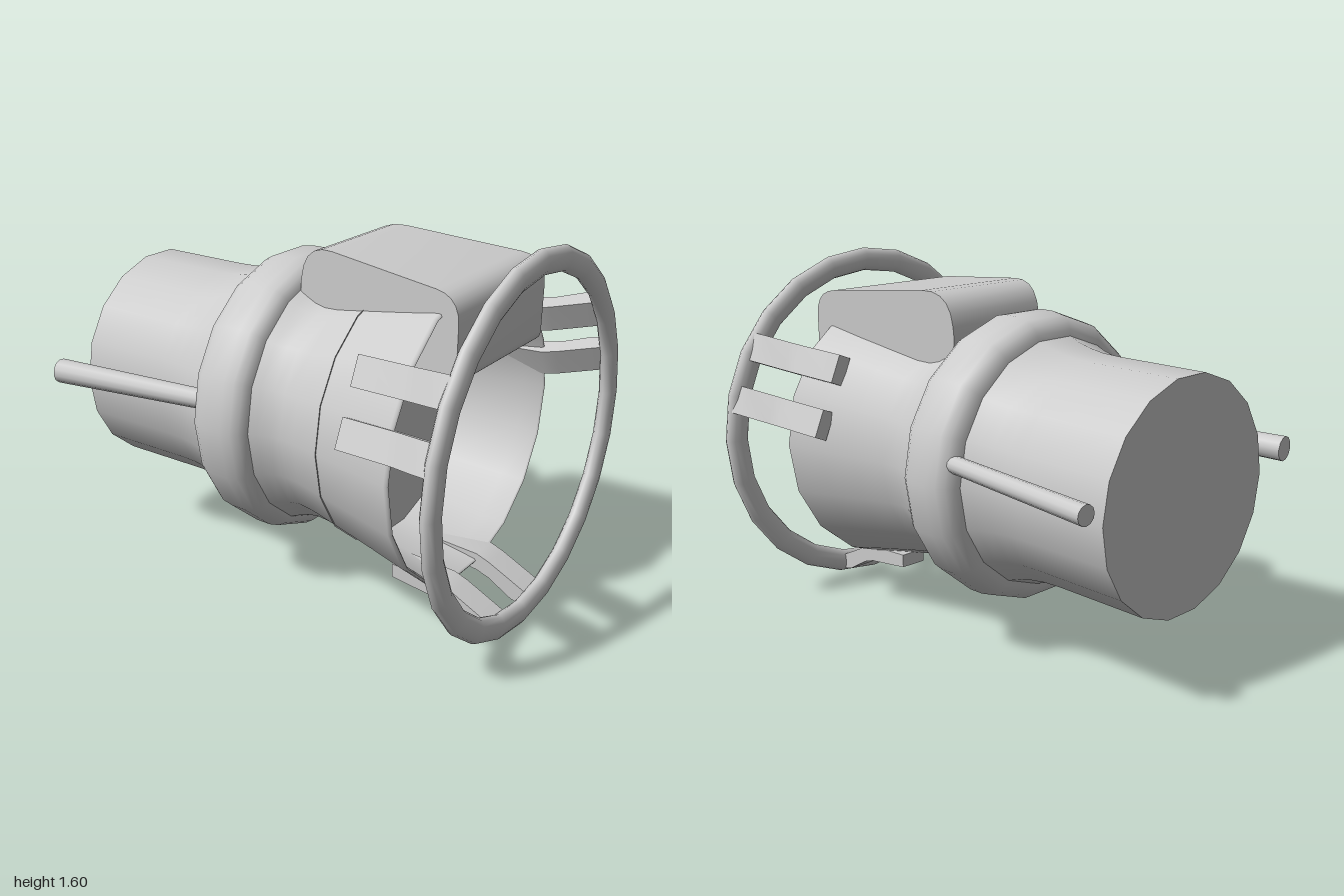
import * as THREE from 'three';
import { toCreasedNormals } from 'three/addons/utils/BufferGeometryUtils.js';

const CY = 0.805; // height of the main axis
const SIDES = 18;
const grey = new THREE.MeshStandardMaterial({ color: 0xcccccc });

function add(parent, name, geometry) {
  const mesh = new THREE.Mesh(geometry, grey);
  mesh.name = name;
  parent.add(mesh);
  return mesh;
}

// Turned part around the z axis, from [radius, z] pairs ordered back to front
function turned(points) {
  const profile = points.map(([r, z]) => new THREE.Vector2(r, z));
  return new THREE.LatheGeometry(profile, SIDES, Math.PI / 2).rotateX(Math.PI / 2);
}

// Side profile of [z, y] points, extruded across x and centred on x = 0
function slab(shape, width) {
  return new THREE.ExtrudeGeometry(shape, { depth: width, bevelEnabled: false, curveSegments: 5 })
    .rotateY(-Math.PI / 2).translate(width / 2, 0, 0);
}

// Polygon with rounded corners, each corner being [u, v, radius]
function roundedShape(corners) {
  const shape = new THREE.Shape();
  const n = corners.length;
  corners.forEach(([u, v, r], i) => {
    const here = new THREE.Vector2(u, v);
    const toward = ([a, b]) => new THREE.Vector2(a, b).sub(here).setLength(r).add(here);
    const start = toward(corners[(i + n - 1) % n]);
    const end = toward(corners[(i + 1) % n]);
    if (i === 0) shape.moveTo(start.x, start.y);
    else shape.lineTo(start.x, start.y);
    shape.quadraticCurveTo(u, v, end.x, end.y);
  });
  shape.closePath();
  return shape;
}

// Tapered round rod between two points
function rod(parent, name, from, to, r0, r1) {
  const a = new THREE.Vector3(...from), b = new THREE.Vector3(...to);
  const dir = b.clone().sub(a);
  const mesh = add(parent, name, new THREE.CylinderGeometry(r1, r0, dir.length(), 12));
  mesh.position.copy(a).add(b).multiplyScalar(0.5);
  mesh.quaternion.setFromUnitVectors(new THREE.Vector3(0, 1, 0), dir.normalize());
  const tip = add(parent, name + 'Tip', new THREE.SphereGeometry(r0, 12, 8));
  tip.position.copy(a);
}

export function createModel() {
  const model = new THREE.Group();

  // Main body: rear barrel, bulging collar and open front bell
  const body = new THREE.Group();
  body.name = 'body';
  body.position.y = CY;
  model.add(body);
  add(body, 'rearBarrel', turned([
    [0.484, -0.98], [0.483, -0.55], [0.486, -0.47], [0.496, -0.4], [0.513, -0.33], [0.535, -0.27],
  ]));
  add(body, 'rearCap', new THREE.CircleGeometry(0.484, SIDES).rotateY(Math.PI)).position.z = -0.98;
  add(body, 'collar', turned([
    [0.52, -0.285], [0.555, -0.28], [0.59, -0.26], [0.611, -0.225], [0.621, -0.17], [0.622, -0.1],
    [0.613, -0.055], [0.595, -0.025], [0.565, -0.005], [0.53, 0],
  ]));
  add(body, 'frontBell', turned([
    [0.565, -0.02], [0.545, 0.03], [0.528, 0.08], [0.522, 0.13], [0.53, 0.2], [0.563, 0.35],
    [0.603, 0.53], [0.643, 0.7], [0.642, 0.712], [0.634, 0.717],
  ]));
  add(body, 'bellLining', turned([[0.634, 0.717], [0.626, 0.71], [0.61, 0.62], [0.562, 0.35], [0.56, 0.33]]));
  add(body, 'lens', new THREE.CircleGeometry(0.565, SIDES)).position.z = 0.335;

  // Top housing, narrowing toward the back
  const housing = slab(roundedShape([
    [0.79, 1.09, 0.05], [0.795, 1.455, 0.11], [0.02, 1.525, 0.15], [-0.015, 1.225, 0.12],
  ].reverse()), 1);
  const p = housing.attributes.position;
  for (let i = 0; i < p.count; i++) {
    const width = 0.5 + 0.25 * p.getZ(i);
    p.setX(i, 0.05 + p.getX(i) * width);
  }
  add(model, 'topHousing', toCreasedNormals(housing, 0.6));

  // Front guard ring
  const ring = add(model, 'guardRing', new THREE.TorusGeometry(0.747, 0.053, 12, 24));
  ring.scale.z = 0.66;
  ring.position.set(0, 0.8, 0.965);

  // Three pairs of bent straps holding the ring
  const strapShape = new THREE.Shape([
    [0.49, 0.575], [0.72, 0.59], [0.78, 0.612], [0.95, 0.695],
    [0.95, 0.765], [0.89, 0.75], [0.78, 0.685], [0.72, 0.665], [0.49, 0.635],
  ].map(([z, r]) => new THREE.Vector2(z, r)));
  const strap = toCreasedNormals(slab(strapShape, 0.125), 0.5);
  const pairs = [
    ['bottomStraps', 270, [0.175, -0.13]],
    ['leftStraps', 23, [0.122, -0.122]],
    ['rightStraps', 155.5, [0.12, -0.12]],
  ];
  for (const [name, angle, offsets] of pairs) {
    const pair = new THREE.Group();
    pair.name = name;
    pair.position.y = CY;
    pair.rotation.z = THREE.MathUtils.degToRad(angle - 90);
    for (const x of offsets) add(pair, 'strap', strap).position.x = x;
    model.add(pair);
  }

  // Side rods reaching back from the collar
  rod(model, 'leftRod', [0.54, 0.9, -0.26], [0.595, 0.882, -1], 0.036, 0.041);
  rod(model, 'rightRod', [-0.535, 0.89, -0.26], [-0.625, 0.882, -1], 0.042, 0.053);

  return model;
}
